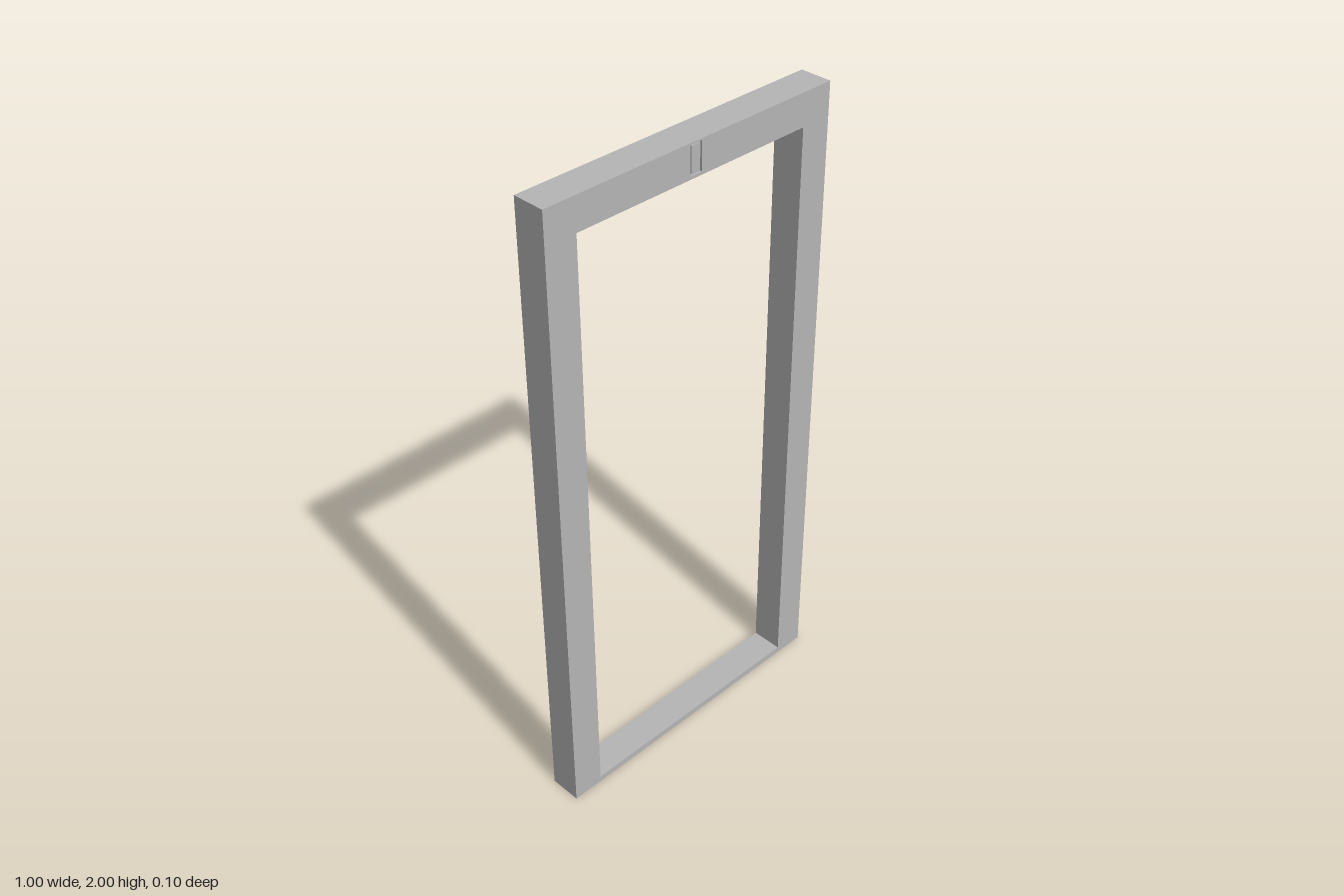
import * as THREE from 'three';

// Rectangle corners, wound counter-clockwise
const rect = (x0, y0, x1, y1) => [[x0, y0], [x1, y0], [x1, y1], [x0, y1]].map(([x, y]) => new THREE.Vector2(x, y));

export function createModel() {
  const group = new THREE.Group();
  const grey = new THREE.MeshStandardMaterial({ color: 0xb6b6b6 });
  grey.name = 'grey';
  const depth = 0.1;

  const add = (name, geometry, x, y, z) => {
    const mesh = new THREE.Mesh(geometry, grey);
    mesh.name = name;
    mesh.position.set(x, y, z);
    group.add(mesh);
  };

  // Door frame: two jambs, a header and a thin sill, with a small slot in the header
  const outline = new THREE.Shape(rect(-0.5, 0, 0.5, 2));
  outline.holes.push(new THREE.Path(rect(-0.4, 0.02, 0.4, 1.9)));
  outline.holes.push(new THREE.Path(rect(-0.02, 1.909, 0.02, 1.995)));
  add('doorFrame', new THREE.ExtrudeGeometry(outline, { depth, bevelEnabled: false }), 0, 0, -depth / 2);

  // Slot floor, recessed on both faces
  add('slotFloor', new THREE.BoxGeometry(0.04, 0.086, depth - 0.012), 0, 1.952, 0);

  // Sensor panel standing inside the slot, showing on both faces
  add('sensorPanel', new THREE.BoxGeometry(0.03, 0.076, depth - 0.004), 0, 1.952, 0);

  return group;
}
